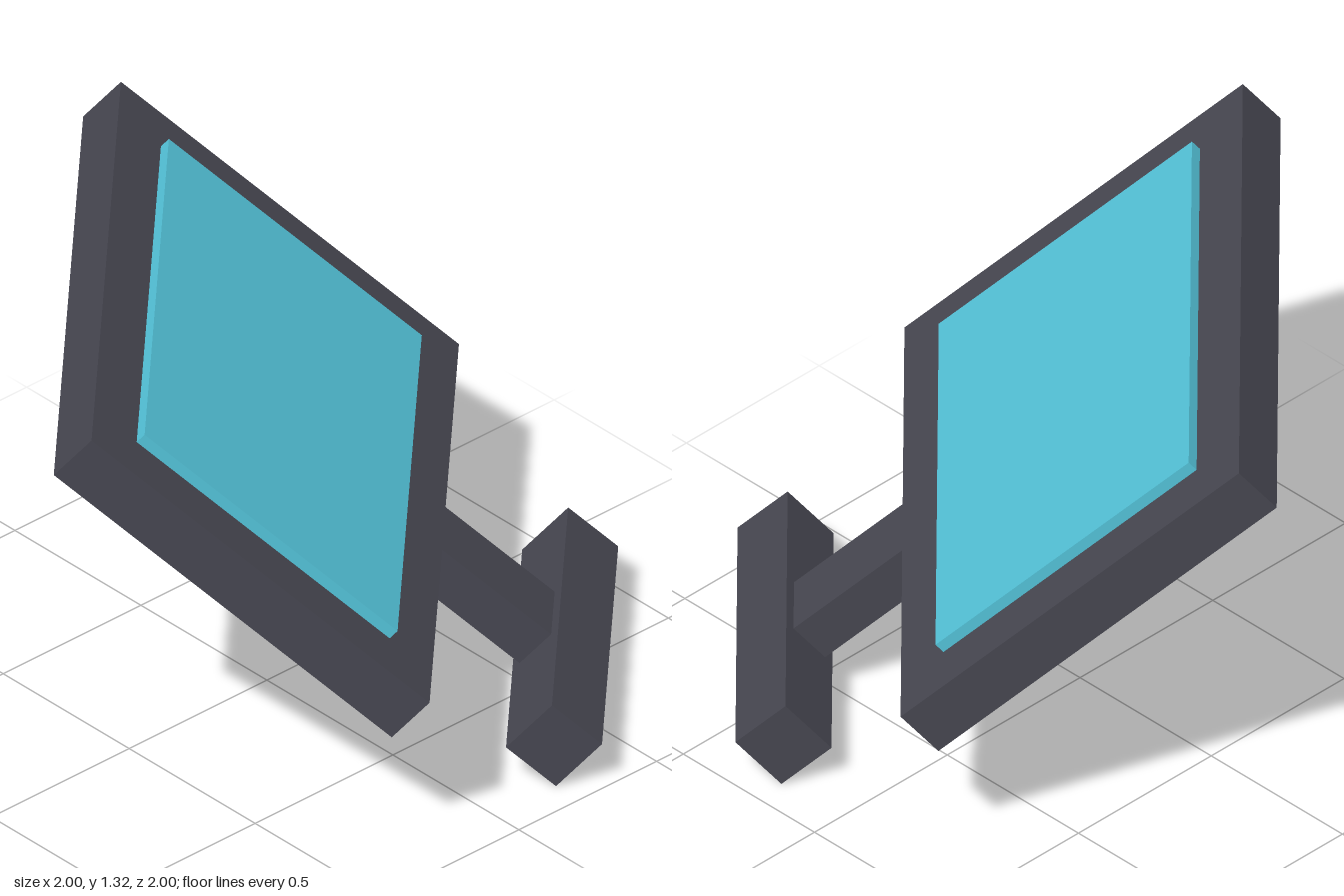
import * as THREE from 'three';

export function createModel() {
  const casing = new THREE.MeshStandardMaterial({ color: 0x464650 });
  casing.name = 'dark grey casing';
  const glass = new THREE.MeshStandardMaterial({ color: 0x53c2d8 });
  glass.name = 'teal screen';

  // The whole display is turned to its left and tipped backwards
  const display = new THREE.Group();
  display.name = 'display';
  display.rotation.set(-0.841, Math.PI / 4, 0, 'YXZ');
  display.position.set(-0.02, 0.868, -0.02);

  // All parts are centred boxes stacked along the tilted height axis
  const addBox = (name, material, width, height, depth, y) => {
    const mesh = new THREE.Mesh(new THREE.BoxGeometry(width, height, depth), material);
    mesh.name = name;
    mesh.position.y = y;
    display.add(mesh);
  };

  addBox('frame', casing, 1.77, 1.216, 0.152, 0);
  // Screen slab stands proud of the frame on the front and the back
  addBox('screen', glass, 1.46, 0.91, 0.216, 0);
  addBox('neck', casing, 0.21, 0.46, 0.127, -0.81);
  addBox('base', casing, 0.976, 0.18, 0.185, -1.1);

  const model = new THREE.Group();
  model.name = 'monitor';
  model.add(display);
  return model;
}
